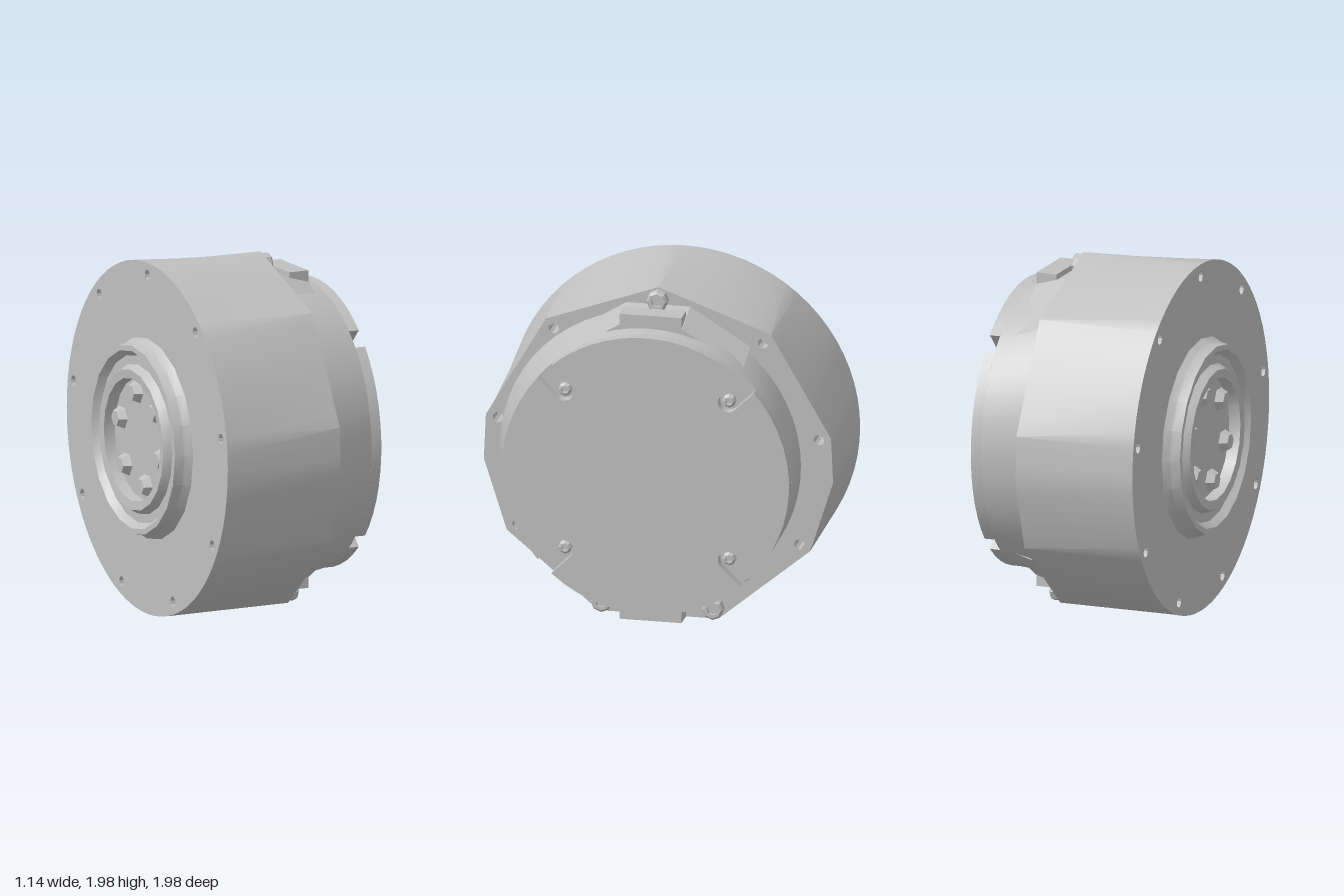
import * as THREE from 'three';
import { toCreasedNormals } from 'three/addons/utils/BufferGeometryUtils.js';

export function createModel() {
  const root = new THREE.Group();
  root.name = 'hubActuator';
  const grey = new THREE.MeshStandardMaterial({ color: 0xc0c0c0 });
  grey.name = 'satin grey';

  // Everything is built around the x axis, then lifted to stand on y = 0.
  const body = new THREE.Group();
  body.name = 'body';
  body.position.y = 0.995;
  root.add(body);

  const add = (name, geometry, parent = body) => {
    const mesh = new THREE.Mesh(geometry, grey);
    mesh.name = name;
    parent.add(mesh);
    return mesh;
  };

  // Move every vertex of a geometry by a rule.
  const reshape = (geometry, rule) => {
    const p = geometry.attributes.position;
    const v = new THREE.Vector3();
    for (let i = 0; i < p.count; i++) {
      rule(v.fromBufferAttribute(p, i));
      p.setXYZ(i, v.x, v.y, v.z);
    }
    return toCreasedNormals(geometry, 0.4);
  };

  // Extrude a (-z, y) outline along x from x0 to x1.
  const extrudeX = (shape, x0, x1) => {
    const g = new THREE.ExtrudeGeometry(shape, { depth: x1 - x0, bevelEnabled: false });
    g.translate(0, 0, x0);
    g.rotateY(Math.PI / 2);
    return toCreasedNormals(g, 0.5);
  };

  // Turn a [radius, x] profile about the x axis, going from low x to high x.
  const latheX = (profile, sides) => {
    const g = new THREE.LatheGeometry(profile.map(([r, x]) => new THREE.Vector2(r, x)), sides);
    g.rotateZ(-Math.PI / 2);
    return toCreasedNormals(g, 0.4);
  };

  const onCircle = (r, a) => new THREE.Vector2(r * Math.cos(a), r * Math.sin(a));
  const rad = THREE.MathUtils.degToRad;

  // Main drum with nine bolt holes
  const drumR = 0.99;
  const drum = new THREE.Shape(Array.from({ length: 72 }, (_, i) => onCircle(drumR, rad(i * 5))));
  const boltAngles = Array.from({ length: 9 }, (_, i) => rad(90 + i * 40));
  for (const a of boltAngles) {
    const c = onCircle(0.92, a);
    drum.holes.push(new THREE.Path(Array.from({ length: 10 }, (_, i) =>
      onCircle(0.03, rad(-i * 36)).add(c))));
  }
  // The round back of the drum blends to a polygon with a corner at each bolt.
  const corners = [-70, -30, -5, 10, 50, 90, 130, 170, 185, 210, 250, 290].map(rad);
  add('mainDrum', reshape(extrudeX(drum, -0.47, 0.23), (v) => {
    if (v.x < 0.2 || Math.hypot(v.y, v.z) < 0.98) return;
    let a = Math.atan2(v.y, -v.z);
    if (a < corners[0]) a += Math.PI * 2;
    const next = Math.max(1, corners.findIndex((c) => c >= a - 1e-4));
    const half = (corners[next] - corners[next - 1]) / 2;
    const r = (drumR * Math.cos(half)) / Math.cos(a - corners[next - 1] - half);
    v.y = r * Math.sin(a);
    v.z = -r * Math.cos(a);
  }));

  // Narrower housing, its foot flared towards the front
  add('motorHousing', reshape(latheX([[0.85, 0.23], [0.81, 0.51], [0, 0.51]], 56), (v) => {
    if (v.x < 0.24) v.z += 0.045;
  }));

  // End cap with four open slots at the corners
  const R = 0.81, slotR = 0.055, slotCentre = 0.655;
  const edge = Math.asin(slotR / R);
  const outline = [];
  for (let k = 0; k < 4; k++) {
    const a = Math.PI / 4 + (k * Math.PI) / 2;
    const centre = onCircle(slotCentre, a);
    outline.push(onCircle(R, a - edge));
    for (let i = 0; i <= 8; i++) {
      outline.push(onCircle(slotR, a - Math.PI / 2 - (i / 8) * Math.PI).add(centre));
    }
    for (let i = 0; i < 13; i++) {
      outline.push(onCircle(R, a + edge + (i / 13) * (Math.PI / 2 - 2 * edge)));
    }
  }
  add('endCap', extrudeX(new THREE.Shape(outline), 0.51, 0.57));

  // Socket screw: head with a recess in its outer face
  const screw = (name, r, x0, x1, c) => {
    const g = latheX([[r, x0], [r, x1 - 0.012], [r - 0.012, x1], [r * 0.5, x1], [r * 0.5, x1 - 0.025], [0, x1 - 0.025]], 8);
    add(name, g).position.set(0, c.y, -c.x);
  };
  for (let k = 0; k < 4; k++) {
    screw('slotScrew', 0.038, 0.5, 0.545, onCircle(slotCentre, Math.PI / 4 + (k * Math.PI) / 2));
  }
  for (const i of [0, 4, 5]) {
    screw('rimScrew', 0.06, 0.23, 0.285, onCircle(0.92, boltAngles[i]));
  }

  // Connector blocks on the top and the bottom of the housing
  for (const s of [1, -1]) {
    const name = s > 0 ? 'topConnector' : 'bottomConnector';
    const connector = new THREE.Group();
    connector.name = name;
    connector.rotation.x = s > 0 ? 0 : Math.PI;
    body.add(connector);

    add(name + 'Block', new THREE.BoxGeometry(0.12, 0.19, 0.35), connector)
      .position.set(0.38, 0.8, 0);

    // Flank that slopes down to the housing on both sides and towards the cap
    const flank = new THREE.Shape([[-0.52, 0.68], [0.52, 0.68], [0.18, 0.89], [-0.18, 0.89]]
      .map(([x, y]) => new THREE.Vector2(x, y)));
    add(name + 'Flank', reshape(extrudeX(flank, 0.23, 0.44), (v) => {
      if (v.x > 0.4) v.y -= 0.06;
    }), connector);
  }

  // Output hub: stepped flange, groove, raised ring and shallow cavity
  add('outputHub', latheX([
    [0, -0.5], [0.34, -0.5], [0.345, -0.565], [0.395, -0.57], [0.42, -0.525],
    [0.47, -0.525], [0.5, -0.565], [0.53, -0.565], [0.54, -0.51], [0.565, -0.47],
  ], 20));

  // Ring of lugs around the hub cavity
  for (let i = 0; i < 6; i++) {
    const c = onCircle(0.26, rad(i * 60 + 17));
    const lug = new THREE.CylinderGeometry(0.07, 0.045, 0.05, 6);
    lug.rotateZ(-Math.PI / 2);
    add('hubLug', toCreasedNormals(lug, 0.3)).position.set(-0.52, c.y, -c.x);
  }

  return root;
}
